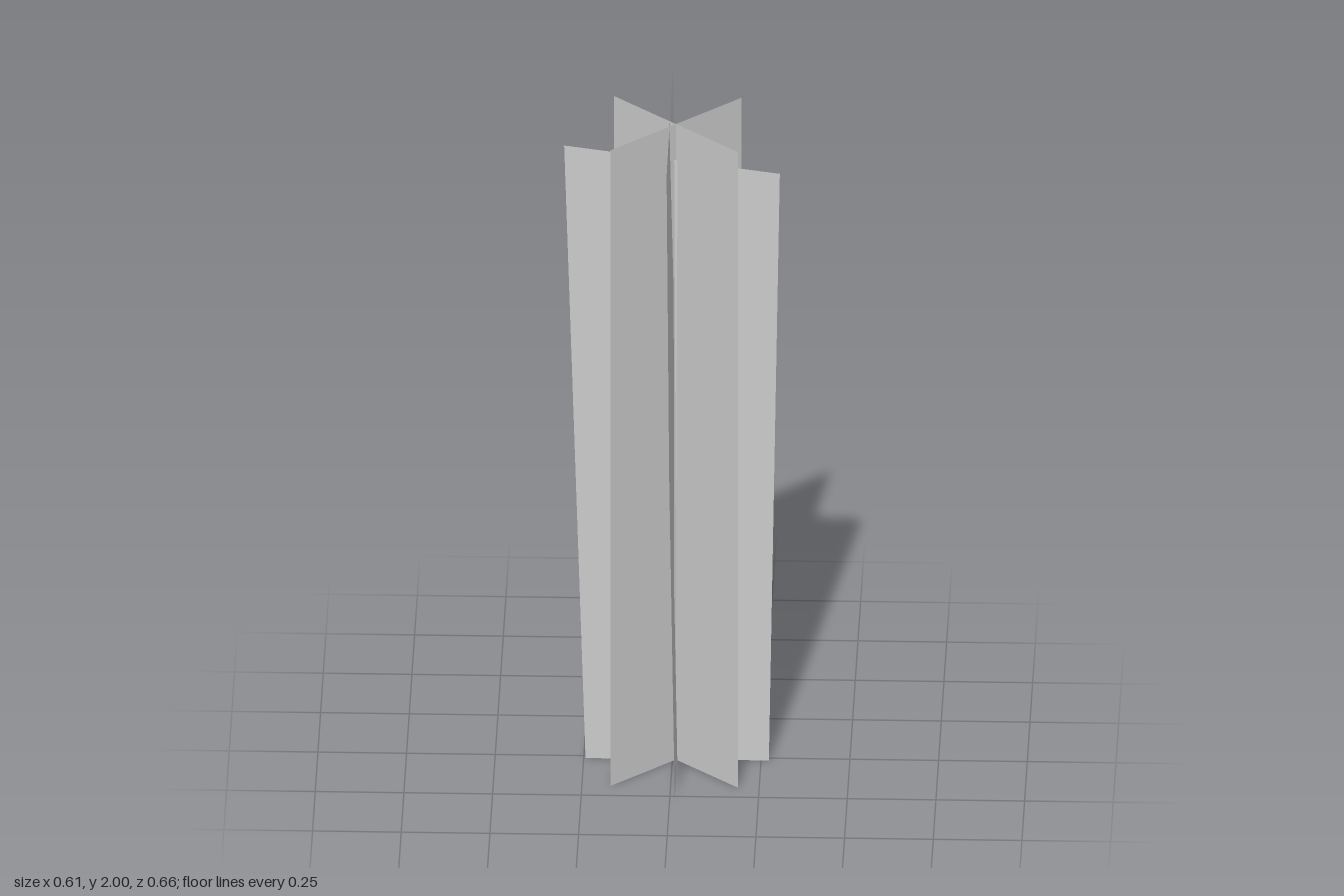
import * as THREE from 'three';

const material = new THREE.MeshStandardMaterial({ color: 0xcccccc, flatShading: true, side: THREE.DoubleSide });

// Upright sheet built from rows of [start corner, end corner], bottom to top.
function sheet(name, rows) {
  const geometry = new THREE.BufferGeometry();
  geometry.setAttribute('position', new THREE.Float32BufferAttribute(rows.flat(2), 3));
  const index = [];
  for (let i = 0; i < rows.length - 1; i++) {
    const a = i * 2;
    index.push(a, a + 1, a + 3, a, a + 3, a + 2);
  }
  geometry.setIndex(index);
  geometry.computeVertexNormals();
  const mesh = new THREE.Mesh(geometry, material);
  mesh.name = name;
  return mesh;
}

export function createModel() {
  const group = new THREE.Group();
  group.name = 'crossedSheets';

  // Two straight rectangular sheets crossing on the diagonals
  const [x0, x1, z0, z1] = [-0.17, 0.19, -0.155, 0.19];
  for (const [name, za, zb] of [['diagonalSheetA', z0, z1], ['diagonalSheetB', z1, z0]]) {
    group.add(sheet(name, [0, 2].map((y) => [[x0, y, za], [x1, y, zb]])));
  }

  // Side-to-side sheet, wider at its sloping top
  group.add(sheet('crosswiseSheet', [
    [[-0.245, 0, 0.015], [0.272, 0, 0.015]],
    [[-0.305, 1.93, 0.022], [0.303, 1.85, 0.022]],
  ]));

  // Front-to-back sheet, pinched at mid height and slightly twisted
  group.add(sheet('lengthwiseSheet', [
    [[0.014, 0, -0.23], [0.014, 0, 0.264]],
    [[0.013, 1.02, -0.23], [-0.003, 1.0, 0.225]],
    [[-0.009, 2, -0.328], [-0.007, 1.99, 0.328]],
  ]));

  return group;
}
